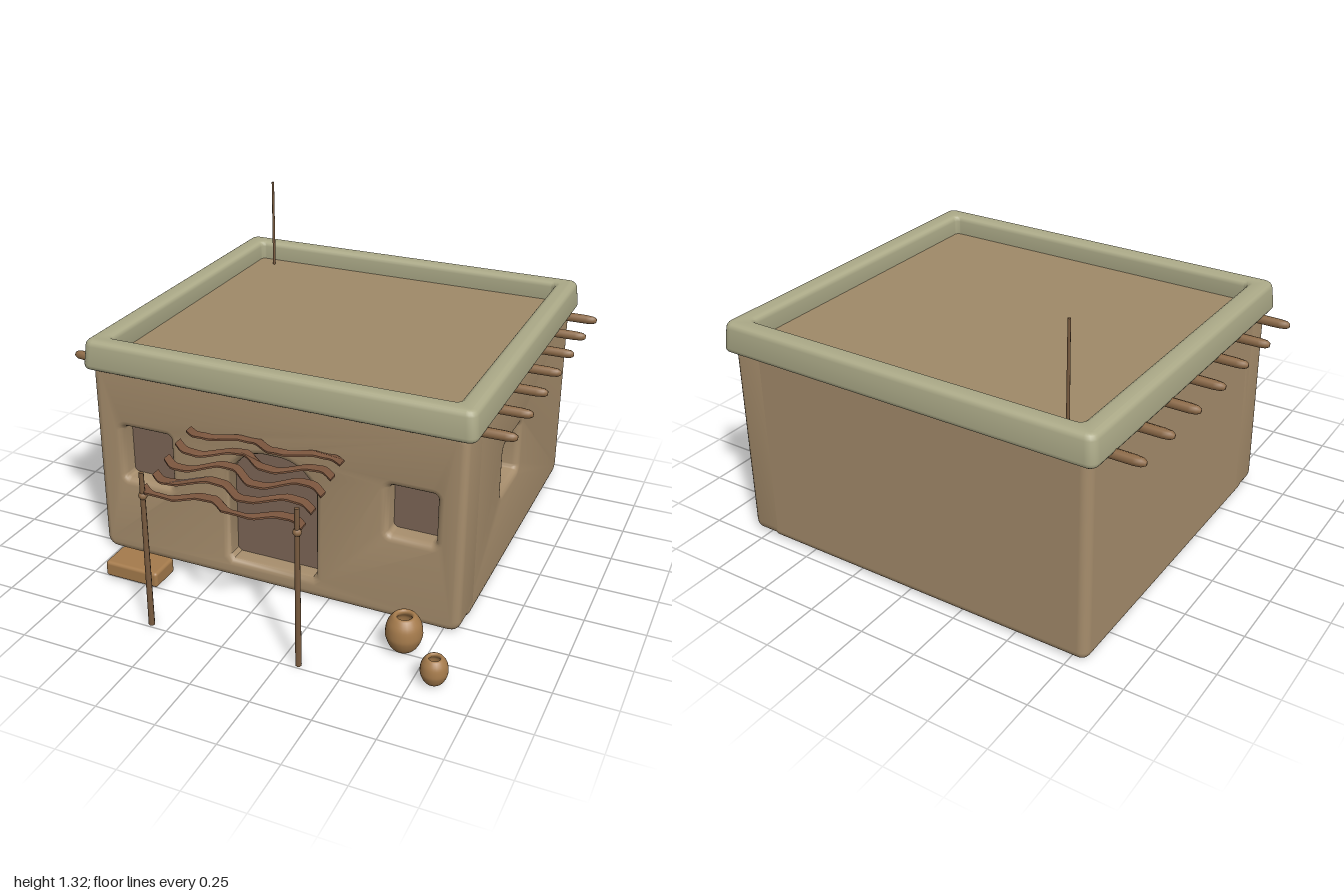
import * as THREE from 'three';
import { toCreasedNormals } from 'three/addons/utils/BufferGeometryUtils.js';
import { RoundedBoxGeometry } from 'three/addons/geometries/RoundedBoxGeometry.js';

const mat = (color) => new THREE.MeshStandardMaterial({ color });

// Points of a rounded rectangle from (x0,y0) to (x1,y1), anticlockwise
function roundRect(x0, y0, x1, y1, r) {
  const pts = [];
  const centres = [[x1 - r, y0 + r], [x1 - r, y1 - r], [x0 + r, y1 - r], [x0 + r, y0 + r]];
  centres.forEach(([cx, cy], c) => {
    for (let i = 0; i <= 5; i++) {
      const a = (c - 1 + i / 5) * Math.PI / 2;
      pts.push(new THREE.Vector2(cx + r * Math.cos(a), cy + r * Math.sin(a)));
    }
  });
  return pts;
}

// Slab of the given total thickness with softened edges, from z = 0 upwards
function slab(outline, holes, thickness, bevel) {
  const shape = new THREE.Shape(outline);
  shape.holes = holes.map((h) => new THREE.Path(h));
  const g = new THREE.ExtrudeGeometry(shape, {
    depth: thickness - 2 * bevel, bevelThickness: bevel, bevelSize: bevel,
    bevelOffset: -bevel, bevelSegments: 4,
  });
  return g.translate(0, 0, bevel);
}

export function createModel() {
  const model = new THREE.Group();
  const clay = mat(0xa68d6c), rimMat = mat(0xacaa88), roofMat = mat(0xa08a68);
  const inner = mat(0x7c6656), wood = mat(0x8f6c49), pole = mat(0x7a5c40);
  const pottery = mat(0xa57b4c), slatMat = mat(0x7d573f);

  function add(name, geometry, material, x = 0, y = 0, z = 0, parent = model) {
    const m = new THREE.Mesh(geometry, material);
    m.name = name;
    m.position.set(x, y, z);
    parent.add(m);
    return m;
  }

  // Main body, set back behind the pierced walls
  const W = 0.82, H = 0.89, BACK = -0.96, FRONT = 0.55, RECESS = 0.09;
  add('bodyCore', new RoundedBoxGeometry(1.55, H, 1.42, 5, 0.04), clay, -0.045, H / 2, -0.25);

  // Front wall with two windows and an arched doorway
  const frontWindows = [[-0.695, 0.365, -0.465, 0.61], [0.505, 0.38, 0.705, 0.6]];
  for (const [x0, y0, x1, y1] of frontWindows) {
    add('windowPanel', new THREE.BoxGeometry(x1 - x0 + 0.02, y1 - y0 + 0.02, 0.02), inner,
      (x0 + x1) / 2, (y0 + y1) / 2, FRONT - RECESS);
  }
  const door = [[-0.185, 0.09], [0.18, 0.09], [0.195, 0.105], [0.195, 0.5], [0.165, 0.545], [0.125, 0.585],
    [0.08, 0.605], [0.04, 0.612], [-0.04, 0.612], [-0.08, 0.605], [-0.125, 0.585], [-0.165, 0.545],
    [-0.2, 0.5], [-0.2, 0.105]].map((p) => new THREE.Vector2(...p));
  add('doorPanel', new THREE.BoxGeometry(0.42, 0.54, 0.02), inner, 0, 0.35, FRONT - RECESS);
  const frontHoles = [...frontWindows.map((w) => roundRect(...w, 0.02)), door];
  const frontWall = slab(roundRect(-W, 0, W, H, 0.05), frontHoles, 0.2, 0.03);
  add('frontWall', toCreasedNormals(frontWall, 0.7), clay, 0, 0, FRONT - 0.2);

  // Left side wall with one window
  const sideWall = slab(roundRect(-FRONT + RECESS, 0, -BACK, H, 0.05),
    [roundRect(-0.05, 0.375, 0.2, 0.595, 0.02)], 0.2, 0.03).rotateY(Math.PI / 2);
  add('sideWall', toCreasedNormals(sideWall, 0.7), clay, W - 0.2, 0, 0);
  add('sideWindowPanel', new THREE.BoxGeometry(0.02, 0.24, 0.27), inner, W - RECESS, 0.485, -0.075);

  // Sunken roof deck and the flared parapet around it
  add('roofDeck', new THREE.BoxGeometry(1.54, 0.04, 1.42), roofMat, 0, 0.88, -0.21);
  const rim = slab(roundRect(-0.857, -0.788, 0.857, 0.788, 0.04),
    [roundRect(-0.755, -0.695, 0.755, 0.695, 0.02)], 0.13, 0.024).rotateX(-Math.PI / 2);
  const rp = rim.attributes.position;
  for (let i = 0; i < rp.count; i++) {
    const outer = Math.abs(rp.getX(i)) > 0.79 || Math.abs(rp.getZ(i)) > 0.73;
    const k = outer ? 1 - 0.12 * rp.getY(i) : 1;
    rp.setX(i, rp.getX(i) * k);
    rp.setZ(i, rp.getZ(i) * k);
  }
  add('parapet', toCreasedNormals(rim, 0.7), rimMat, 0, 0.857, -0.208);

  // Roof beams poking out of both side walls
  const beam = new THREE.LatheGeometry(
    [[0, 0], [0.022, 0], [0.021, 0.17], [0.018, 0.2], [0.01, 0.214], [0, 0.216]].map((p) => new THREE.Vector2(...p)), 8);
  for (let i = 0; i < 7; i++) {
    for (const s of [-1, 1]) {
      const b = add('roofBeam', beam, wood, s * 0.757, 0.855, -0.842 + i * 0.214);
      b.rotation.z = -s * Math.PI / 2;
    }
  }

  // Thin pole on the roof
  add('roofPole', new THREE.CylinderGeometry(0.006, 0.007, 0.43, 8), pole, -0.66, 1.105, -0.84);

  // Awning: two posts with lashings, and wavy slats stepping down from the wall
  const awning = new THREE.Group();
  awning.name = 'awning';
  model.add(awning);
  for (const x of [-0.328, 0.322]) {
    add('awningPost', new THREE.CylinderGeometry(0.01, 0.013, 0.69, 8), pole, x, 0.345, 0.98, awning);
    add('postLashing', new THREE.SphereGeometry(0.018, 10, 8), wood, x, 0.59, 0.978, awning);
  }
  const N = 40;
  for (let k = 0; k < 5; k++) {
    const edge = (i, off) => {
      const x = -0.345 + (0.685 * i) / N;
      const swing = THREE.MathUtils.clamp(1.25 * Math.cos((2 * Math.PI * (x + 0.085)) / 0.33), -1, 1);
      const z = THREE.MathUtils.clamp(0.602 + k * 0.088 + off - 0.038 * swing, 0.55, 0.993 + off * 0.01);
      return new THREE.Vector2(x, -z);
    };
    const pts = [];
    for (let i = 0; i <= N; i++) pts.push(edge(i, 0.022));
    for (let i = N; i >= 0; i--) pts.push(edge(i, -0.022));
    const g = new THREE.ExtrudeGeometry(new THREE.Shape(pts), { depth: 0.008, bevelEnabled: false });
    g.rotateX(-Math.PI / 2);
    // Gentle sag along each slat, stronger next to the wall
    const p = g.attributes.position;
    const sag = k === 0 ? 0.01 : 0.004;
    for (let i = 0; i < p.count; i++) p.setY(i, p.getY(i) + sag * Math.sin(p.getX(i) * 19 + k * 1.7));
    add('awningSlat', toCreasedNormals(g, 0.6), slatMat, 0, 0.69 - k * 0.022, 0, awning);
  }

  // Round clay pots with open mouths
  const potProfile = [[0, 0], [0.42, 0.02], [0.75, 0.32], [0.96, 0.8], [1, 1.15], [0.92, 1.65], [0.7, 2.02],
    [0.54, 2.14], [0.42, 2.08], [0.42, 1.9], [0.65, 1.5], [0.6, 0.6], [0, 0.3]];
  const pot = new THREE.LatheGeometry(
    new THREE.SplineCurve(potProfile.map((p) => new THREE.Vector2(...p))).getPoints(40)
      .map((p) => new THREE.Vector2(Math.max(0, p.x), Math.max(0, p.y))), 24);
  for (const [x, z, r] of [[0.652, 0.722, 0.074], [0.828, 0.87, 0.054]]) {
    add('clayPot', pot, pottery, x, 0, z).scale.setScalar(r);
  }

  // Low bench block by the door
  add('bench', new RoundedBoxGeometry(0.25, 0.07, 0.145, 3, 0.014), pottery, -0.555, 0.045, 0.698);

  return model;
}
